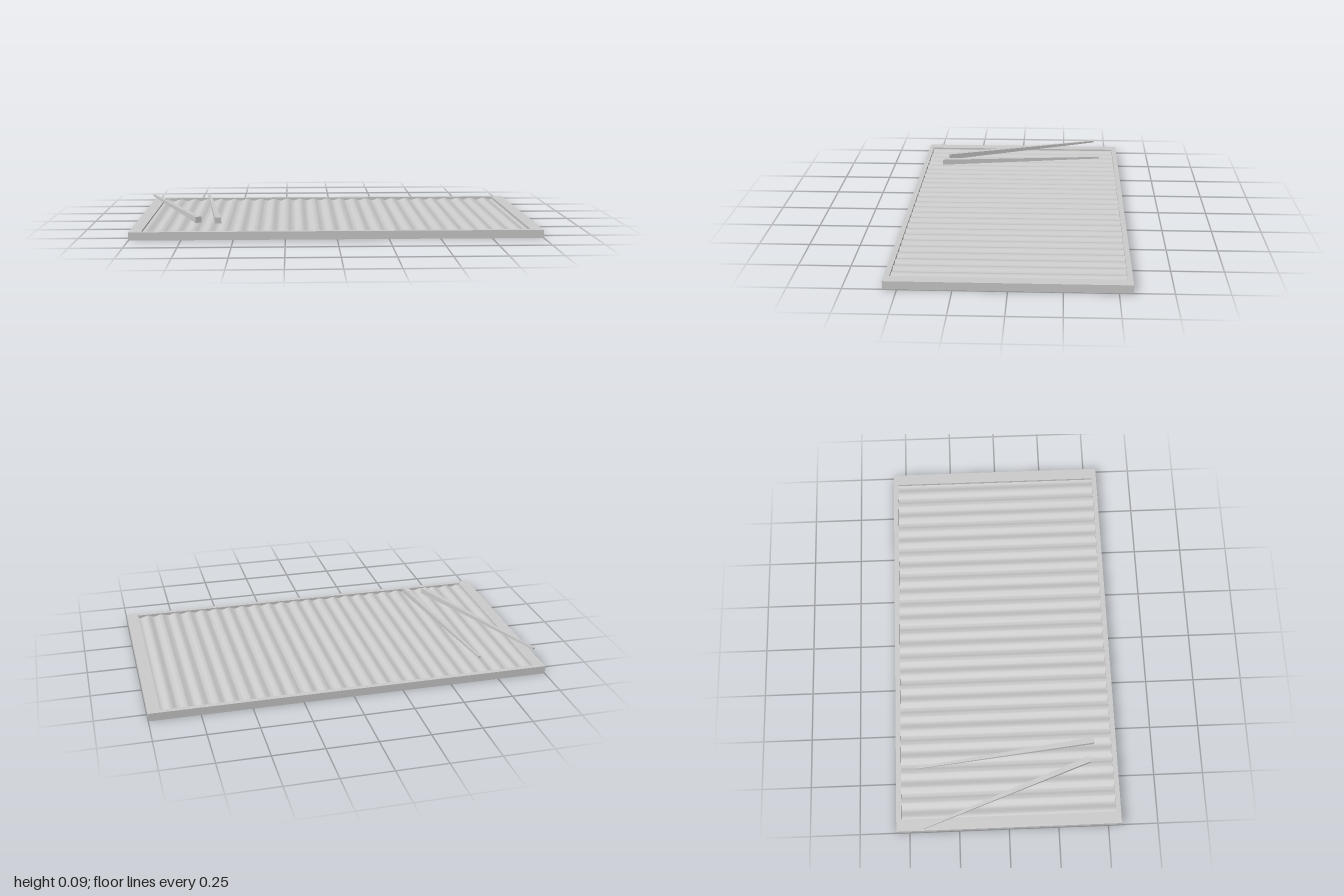
import * as THREE from 'three';
import { toCreasedNormals } from 'three/addons/utils/BufferGeometryUtils.js';

const HALF_X = 1, HALF_Z = 0.565, HEIGHT = 0.04;   // outer tray
const IN_X = 0.94, IN_Z = 0.54;                    // recess
const PITCH = 0.0757, FIRST_VALLEY = -0.89;        // slats

const material = new THREE.MeshStandardMaterial({ color: 0xcccccc });

function mesh(name, geometry) {
  const m = new THREE.Mesh(geometry, material);
  m.name = name;
  return m;
}

function rectPoints(hx, hy) {
  return [[-hx, -hy], [hx, -hy], [hx, hy], [-hx, hy]].map(([x, y]) => new THREE.Vector2(x, y));
}

// Raised border around the recess
function createRim() {
  const shape = new THREE.Shape(rectPoints(HALF_X, HALF_Z));
  shape.holes.push(new THREE.Path(rectPoints(IN_X, IN_Z).reverse()));
  const geometry = new THREE.ExtrudeGeometry(shape, { depth: HEIGHT, bevelEnabled: false });
  geometry.rotateX(-Math.PI / 2);
  return mesh('trayRim', geometry);
}

// Rounded slats running front to back, one wavy cross-section extruded along z
function createSlats() {
  const steps = 250;
  const points = [new THREE.Vector2(-IN_X, 0), new THREE.Vector2(IN_X, 0)];
  for (let i = 0; i <= steps; i++) {
    const x = IN_X - (2 * IN_X * i) / steps;
    const wave = Math.cos((2 * Math.PI * (x - FIRST_VALLEY)) / PITCH);
    points.push(new THREE.Vector2(x, 0.029 - 0.005 * wave));
  }
  const geometry = new THREE.ExtrudeGeometry(new THREE.Shape(points), { depth: 2 * IN_Z, bevelEnabled: false });
  geometry.translate(0, 0, -IN_Z);
  return mesh('slattedFloor', toCreasedNormals(geometry, 0.6));
}

// Square stick tapering from its handle end to a thin tip
function createStick(name, handle, tip) {
  const a = new THREE.Vector3(handle[0], 0.075, handle[1]);
  const b = new THREE.Vector3(tip[0], 0.075, tip[1]);
  const length = a.distanceTo(b);
  const geometry = new THREE.BoxGeometry(0.03, 0.03, length);
  const p = geometry.attributes.position;
  for (let i = 0; i < p.count; i++) {
    if (p.getZ(i) > 0) p.setXY(i, p.getX(i) / 3, p.getY(i) / 3);
  }
  geometry.computeVertexNormals();
  const stick = mesh(name, geometry);
  stick.position.copy(a).lerp(b, 0.5);
  stick.lookAt(b);
  return stick;
}

export function createModel() {
  const group = new THREE.Group();
  group.name = 'slattedTrayWithSticks';
  const tray = new THREE.Group();
  tray.name = 'tray';
  tray.add(createRim(), createSlats());
  group.add(
    tray,
    createStick('outerStick', [-0.676, 0.42], [-0.994, -0.43]),
    createStick('innerStick', [-0.578, 0.448], [-0.687, -0.454])
  );
  return group;
}
